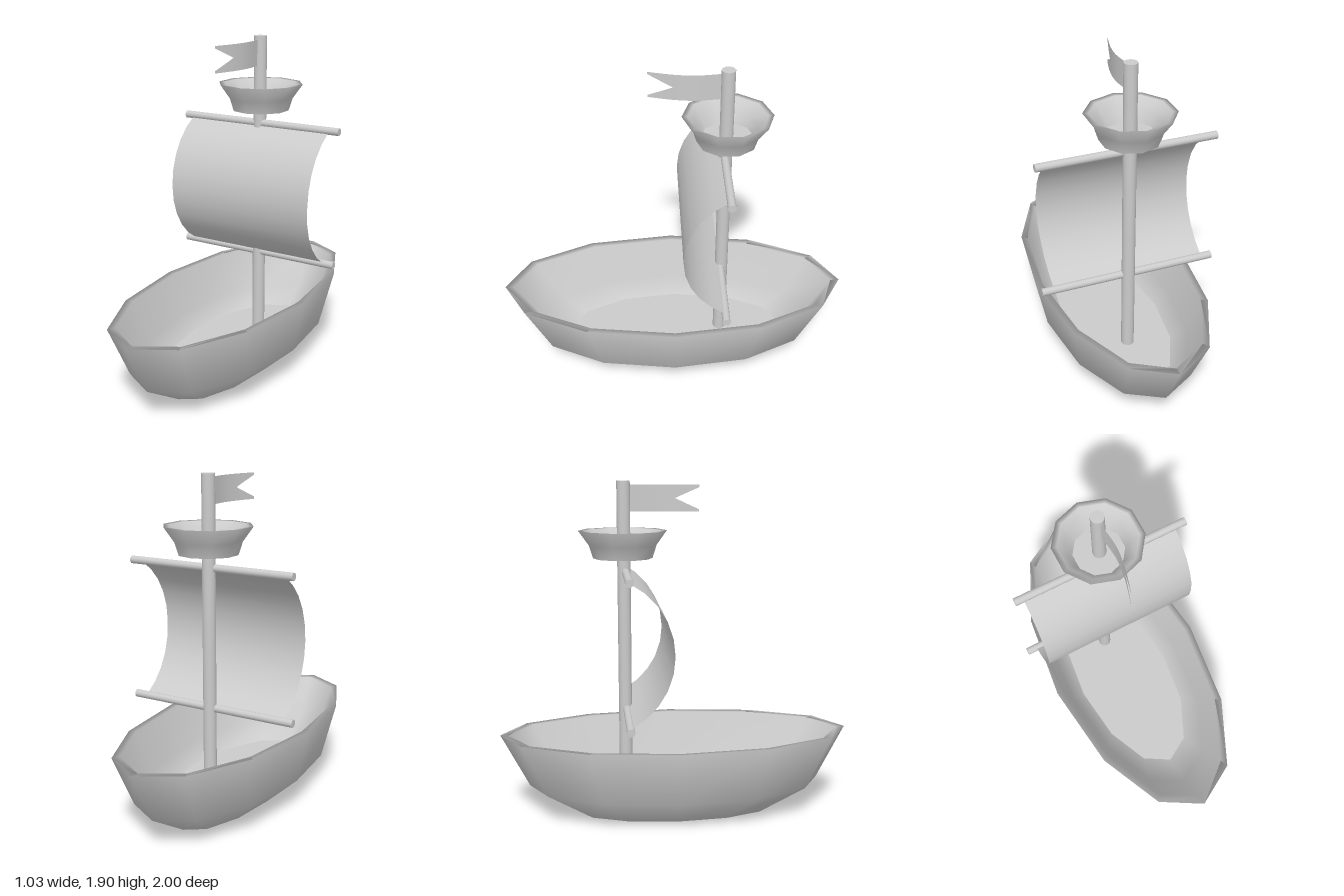
import * as THREE from 'three';

const grey = new THREE.MeshStandardMaterial({ color: 0xcccccc });
const greyDouble = new THREE.MeshStandardMaterial({ color: 0xcccccc, side: THREE.DoubleSide });
const MAST_Z = -0.29;

function addMesh(parent, name, geometry, material = grey) {
  const mesh = new THREE.Mesh(geometry, material);
  mesh.name = name;
  parent.add(mesh);
  return mesh;
}

// Smooth skin through elliptical loops [rx, rz, y, zCentre]
function skin(loops, sides) {
  const pos = [], index = [];
  for (const [rx, rz, y, zc = 0] of loops) {
    for (let i = 0; i < sides; i++) {
      const a = (i / sides) * Math.PI * 2;
      pos.push(rx * Math.sin(a), y, zc + rz * Math.cos(a));
    }
  }
  for (let j = 0; j < loops.length - 1; j++) {
    for (let i = 0; i < sides; i++) {
      const k = (i + 1) % sides;
      const a = j * sides + i, b = j * sides + k;
      index.push(a, b, b + sides, a, b + sides, a + sides);
    }
  }
  const g = new THREE.BufferGeometry();
  g.setAttribute('position', new THREE.Float32BufferAttribute(pos, 3));
  g.setIndex(index);
  g.computeVertexNormals();
  return g;
}

// Flat cap closing a loop, facing up (1) or down (-1)
function cap([rx, rz, y, zc = 0], sides, facing) {
  return new THREE.CircleGeometry(1, sides, Math.PI / 2)
    .rotateX(-facing * Math.PI / 2)
    .scale(rx, 1, rz)
    .translate(0, y, zc);
}

// Open vessel: outside from bottom to rim, then inside down to the floor
function vessel(name, loops, sides) {
  const group = new THREE.Group();
  group.name = name;
  addMesh(group, name + 'Wall', skin(loops, sides));
  addMesh(group, name + 'Base', cap(loops[0], sides, -1));
  addMesh(group, name + 'Floor', cap(loops[loops.length - 1], sides, 1));
  return group;
}

// Sheet with u (0..1 across) and v (0..1 upward) placed by a rule
function sheet(nu, nv, place) {
  const g = new THREE.PlaneGeometry(1, 1, nu, nv);
  const p = g.attributes.position;
  for (let i = 0; i < p.count; i++) {
    p.setXYZ(i, ...place(p.getX(i) + 0.5, p.getY(i) + 0.5));
  }
  g.computeVertexNormals();
  return g;
}

export function createModel() {
  const model = new THREE.Group();
  model.name = 'sailingBoat';

  // Hull
  model.add(vessel('hull', [
    [0.21, 0.56, 0],
    [0.4, 0.84, 0.17],
    [0.463, 1, 0.475],
    [0.425, 0.95, 0.472],
    [0.37, 0.8, 0.22, -0.01],
    [0.29, 0.64, 0.13, -0.02],
  ], 12));

  // Mast
  addMesh(model, 'mast', new THREE.CylinderGeometry(0.037, 0.037, 1.77, 16))
    .position.set(0, 1.015, MAST_Z + 0.005);

  // Lookout basket
  const nest = vessel('lookoutBasket', [
    [0.165, 0.165, 1.478],
    [0.188, 0.188, 1.55],
    [0.245, 0.245, 1.63],
    [0.215, 0.215, 1.628],
    [0.165, 0.165, 1.56],
    [0.14, 0.14, 1.505],
  ], 10);
  nest.position.z = MAST_Z;
  model.add(nest);

  // Yards
  for (const [name, y, x] of [['upperYard', 1.402, 0.004], ['lowerYard', 0.62, -0.005]]) {
    const yard = addMesh(model, name, new THREE.CylinderGeometry(0.022, 0.022, 1.02, 12));
    yard.rotation.z = Math.PI / 2;
    yard.position.set(x, y, -0.277);
  }

  // Sail: circular arc bulging forward, slightly narrower at its lower left corner
  const top = 1.395, bottom = 0.625, sag = 0.235;
  const half = (top - bottom) / 2;
  const radius = (half * half + sag * sag) / (2 * sag);
  const spread = Math.asin(half / radius);
  addMesh(model, 'sail', sheet(1, 10, (u, v) => {
    const a = (v * 2 - 1) * spread;
    return [
      THREE.MathUtils.lerp(-0.457, 0.435 + 0.015 * Math.min(1, v * 2), u),
      (top + bottom) / 2 + radius * Math.sin(a),
      -0.275 + sag - radius * (1 - Math.cos(a)),
    ];
  }), greyDouble);

  // Swallow-tailed pennant in two mirrored halves
  const wave = new THREE.SplineCurve([
    new THREE.Vector2(-0.255, 0), new THREE.Vector2(-0.12, 0.014),
    new THREE.Vector2(0, 0), new THREE.Vector2(0.13, -0.035),
  ]);
  const pennant = new THREE.Group();
  pennant.name = 'pennant';
  for (const side of [1, -1]) {
    addMesh(pennant, side > 0 ? 'pennantTop' : 'pennantBottom', sheet(12, 1, (u, v) => {
      const { x: z, y: x } = wave.getPoint(u);
      const inner = 0.06 * Math.max(0, z / 0.13);
      return [x, 1.805 + side * THREE.MathUtils.lerp(inner, 0.073, v), z];
    }), greyDouble);
  }
  model.add(pennant);

  return model;
}
